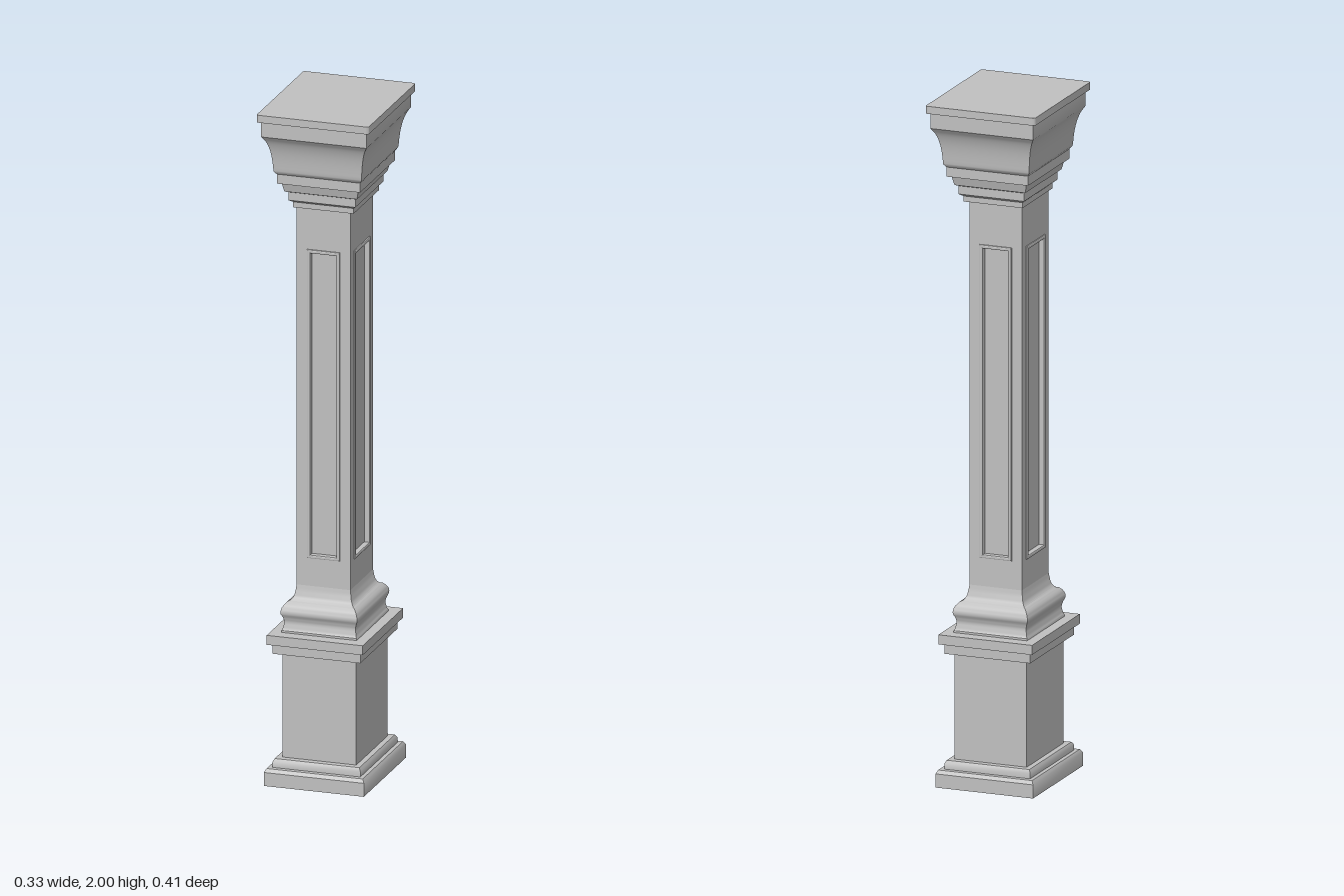
import * as THREE from 'three';
import { toCreasedNormals } from 'three/addons/utils/BufferGeometryUtils.js';

const DEPTH_RATIO = 1.23; // every moulding is a little deeper than it is wide

// Square-cornered moulding swept from a profile of [halfWidth, y] points, capped at both ends
function moulding(profile) {
  const pos = [];
  const corner = ([h, y], k) => {
    const sx = [1, 1, -1, -1][k % 4], sz = [1, -1, -1, 1][k % 4];
    return [sx * h, y, sz * h * DEPTH_RATIO];
  };
  const quad = (a, b, c, d) => pos.push(...a, ...b, ...c, ...a, ...c, ...d);
  for (let i = 0; i < profile.length - 1; i++) {
    const lo = profile[i], hi = profile[i + 1];
    for (let k = 0; k < 4; k++) {
      quad(corner(lo, k), corner(lo, k + 1), corner(hi, k + 1), corner(hi, k));
    }
  }
  const first = profile[0], last = profile[profile.length - 1];
  quad(...[3, 2, 1, 0].map((k) => corner(first, k)));
  quad(...[0, 1, 2, 3].map((k) => corner(last, k)));
  const g = new THREE.BufferGeometry();
  g.setAttribute('position', new THREE.Float32BufferAttribute(pos, 3));
  return toCreasedNormals(g, 0.6);
}

// Smooth run of profile points through a few control points
function curved(points, n = 10) {
  return new THREE.SplineCurve(points.map((p) => new THREE.Vector2(...p)))
    .getPoints(n).map((p) => [p.x, p.y]);
}

function rectangle(Type, hw, hh) {
  const s = new Type();
  s.moveTo(-hw, -hh);
  s.lineTo(hw, -hh);
  s.lineTo(hw, hh);
  s.lineTo(-hw, hh);
  s.closePath();
  return s;
}

export function createModel() {
  const model = new THREE.Group();
  model.name = 'column';
  const stone = new THREE.MeshStandardMaterial({ color: 0xc0c0c0 });
  stone.name = 'grey stone';

  const add = (name, geometry, parent = model) => {
    const mesh = new THREE.Mesh(geometry, stone);
    mesh.name = name;
    parent.add(mesh);
    return mesh;
  };

  // Lower parts and shaft stand slightly off the centre of the cap
  const lower = new THREE.Group();
  lower.name = 'pedestalAndShaft';
  lower.position.set(-0.003, 0, 0.001);
  model.add(lower);

  // Pedestal
  add('foot', moulding([
    [0.149, 0], [0.149, 0.04], [0.143, 0.05], [0.131, 0.05], [0.131, 0.066], [0.126, 0.075], [0.11, 0.075],
  ]), lower);
  add('pedestalBlock', moulding([[0.11, 0.07], [0.11, 0.4]]), lower);
  add('pedestalCornice', moulding([
    [0.11, 0.388], [0.131, 0.388], [0.131, 0.418], [0.143, 0.418], [0.143, 0.446], [0.11, 0.446],
  ]), lower);

  // Rounded base moulding sweeping up into the shaft
  add('shaftBase', moulding([
    [0.112, 0.44], [0.112, 0.452],
    ...curved([[0.11, 0.455], [0.106, 0.475], [0.109, 0.49], [0.114, 0.503], [0.111, 0.52], [0.1, 0.534]], 14),
    ...curved([[0.094, 0.536], [0.085, 0.55], [0.08, 0.58]], 6),
  ]), lower);

  // Shaft: solid ends, recessed core and four corner posts
  const HX = 0.08, HZ = HX * DEPTH_RATIO;
  const Y0 = 0.662, Y1 = 1.58, MID = (Y0 + Y1) / 2, H = Y1 - Y0;
  const PX = 0.049, PZ = 0.068, RECESS = 0.012;
  add('shaftBottom', moulding([[HX, 0.575], [HX, Y0]]), lower);
  add('shaftTop', moulding([[HX, Y1], [HX, 1.715]]), lower);
  add('shaftCore', new THREE.BoxGeometry(2 * (HX - RECESS), H, 2 * (HZ - RECESS)), lower)
    .position.y = MID;
  for (const sx of [-1, 1]) {
    for (const sz of [-1, 1]) {
      add('cornerPost', new THREE.BoxGeometry(HX - PX, H, HZ - PZ), lower)
        .position.set(sx * (HX + PX) / 2, MID, sz * (HZ + PZ) / 2);
    }
  }

  // Raised, bevelled frame round the recessed panel on each face
  for (let i = 0; i < 4; i++) {
    const side = i % 2 === 1;
    const half = side ? PZ : PX, face = side ? HX : HZ;
    const shape = rectangle(THREE.Shape, half, H / 2);
    shape.holes.push(rectangle(THREE.Path, half - 0.011, H / 2 - 0.011));
    const frame = new THREE.ExtrudeGeometry(shape, {
      depth: RECESS, bevelEnabled: true, bevelThickness: 0.004,
      bevelSize: 0.003, bevelOffset: -0.003, bevelSegments: 2,
    });
    frame.translate(0, MID, face - RECESS);
    frame.rotateY(i * Math.PI / 2);
    add('panelFrame', frame, lower);
  }

  // Capital: small steps, hollow flare, then the upper band
  add('capital', moulding([
    [0.08, 1.704], [0.09, 1.704], [0.09, 1.72], [0.1, 1.728], [0.1, 1.752],
    [0.108, 1.756], [0.114, 1.782], [0.124, 1.784], [0.124, 1.812], [0.13, 1.82],
    ...curved([[0.131, 1.824], [0.134, 1.86], [0.139, 1.89], [0.147, 1.915], [0.157, 1.932]], 12),
    [0.157, 1.978], [0.15, 1.982],
  ]));

  // Top slab with softly rounded corners
  const w = 0.167, d = 0.206, r = 0.008;
  const slab = new THREE.Shape();
  slab.absarc(w - r, d - r, r, 0, Math.PI / 2);
  slab.absarc(r - w, d - r, r, Math.PI / 2, Math.PI);
  slab.absarc(r - w, r - d, r, Math.PI, Math.PI * 1.5);
  slab.absarc(w - r, r - d, r, Math.PI * 1.5, Math.PI * 2);
  const slabGeometry = new THREE.ExtrudeGeometry(slab, { depth: 0.022, bevelEnabled: false, curveSegments: 5 });
  slabGeometry.rotateX(-Math.PI / 2);
  add('topSlab', toCreasedNormals(slabGeometry, 0.6)).position.y = 1.978;

  return model;
}
